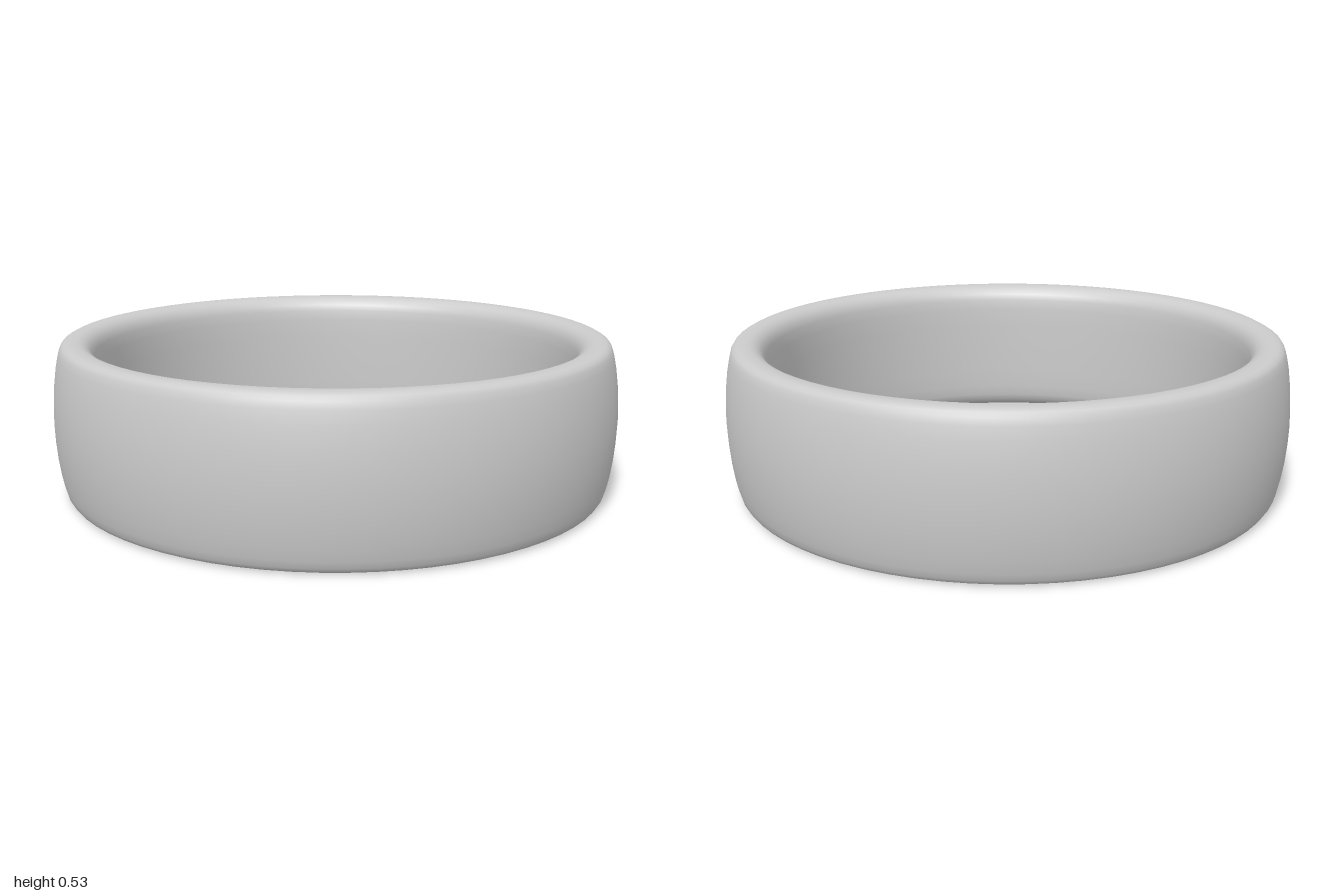
import * as THREE from 'three';

const HEIGHT = 0.53;
const MID = HEIGHT / 2;

// Upper half of the band's section as [radius, height above the middle], outside to inside
const upperHalf = [
  [0.998, 0], [0.996, 0.06], [0.991, 0.12], [0.982, 0.18], [0.973, 0.22],
  [0.966, 0.243], [0.957, 0.256], [0.943, 0.263], [0.925, 0.265], [0.9, 0.264],
  [0.882, 0.259], [0.866, 0.249], [0.853, 0.233], [0.845, 0.21], [0.841, 0.17],
  [0.839, 0.1], [0.839, 0],
];

export function createModel() {
  const group = new THREE.Group();
  group.name = 'ring';

  // Closed section: up the outside, down the inside, mirrored below the middle
  const upper = upperHalf.map(([r, h]) => new THREE.Vector2(r, MID + h));
  const lower = upperHalf.slice(0, -1).reverse().map(([r, h]) => new THREE.Vector2(r, MID - h));
  const lowerInside = lower.slice(0, 8);
  const lowerOutside = lower.slice(8, -1);
  const inner = upper[upper.length - 1].clone();
  const profile = [...lowerInside, ...lowerOutside, ...upper];
  profile.unshift(inner);

  const geometry = new THREE.LatheGeometry(profile, 72);

  // The outer wall is a touch narrower from side to side than from front to back
  const p = geometry.attributes.position;
  for (let i = 0; i < p.count; i++) {
    const r = Math.hypot(p.getX(i), p.getZ(i));
    const t = THREE.MathUtils.clamp((r - 0.84) / 0.15, 0, 1);
    p.setX(i, p.getX(i) * (1 - 0.011 * t));
  }

  const band = new THREE.Mesh(geometry, new THREE.MeshStandardMaterial({ color: 0xcccccc }));
  band.name = 'band';
  group.add(band);
  return group;
}
